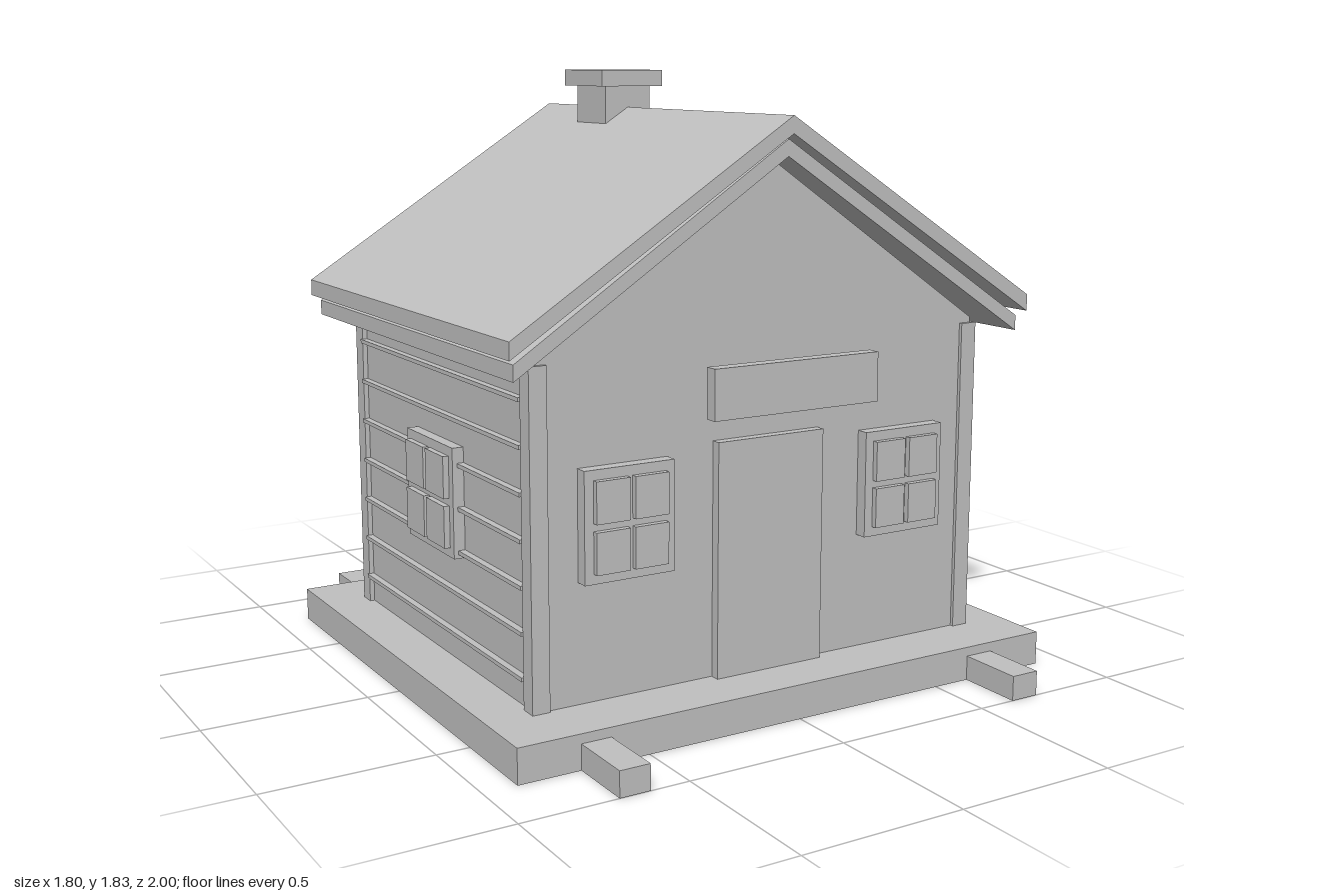
import * as THREE from 'three';

export function createModel() {
  const group = new THREE.Group();
  const grey = new THREE.MeshStandardMaterial({ color: 0xc0c0c0 });
  grey.name = 'light grey';

  const add = (name, geometry, parent = group) => {
    const mesh = new THREE.Mesh(geometry, grey);
    mesh.name = name;
    parent.add(mesh);
    return mesh;
  };
  // Box given by its extents along each axis
  const box = (name, x0, x1, y0, y1, z0, z1, parent) => {
    const g = new THREE.BoxGeometry(x1 - x0, y1 - y0, z1 - z0);
    g.translate((x0 + x1) / 2, (y0 + y1) / 2, (z0 + z1) / 2);
    return add(name, g, parent);
  };
  // Front outline extruded along z, centred on z = 0
  const prism = (name, points, halfDepth) => {
    const shape = new THREE.Shape(points.map(([x, y]) => new THREE.Vector2(x, y)));
    const g = new THREE.ExtrudeGeometry(shape, { depth: 2 * halfDepth, bevelEnabled: false });
    g.translate(0, 0, -halfDepth);
    return add(name, g);
  };
  // Chevron roof layer: ridge and eave heights of its upper and lower faces
  const roof = (name, w, ridgeTop, eaveTop, ridgeLow, eaveLow, halfDepth) =>
    prism(name, [[-w, eaveLow], [0, ridgeLow], [w, eaveLow], [w, eaveTop], [0, ridgeTop], [-w, eaveTop]], halfDepth);

  // Base and skids
  box('base', -0.9, 0.9, 0, 0.103, -0.795, 0.795);
  for (const s of [-1, 1]) box('skid', s * 0.665 - 0.046, s * 0.665 + 0.046, 0, 0.075, -1, 1);

  // Body with gables
  prism('walls', [[-0.75, 0.1], [0.75, 0.1], [0.75, 1.083], [0, 1.592], [-0.75, 1.083]], 0.607);

  // Two roof layers
  roof('lowerRoof', 0.85, 1.645, 1.092, 1.597, 1.046, 0.702);
  roof('upperRoof', 0.872, 1.71, 1.157, 1.66, 1.107, 0.726);

  // Chimney
  box('chimneyStack', -0.08, 0.08, 1.57, 1.78, -0.372, -0.186);
  box('chimneyCap', -0.109, 0.109, 1.776, 1.826, -0.402, -0.156);

  // Corner posts
  for (const sx of [-1, 1]) for (const sz of [-1, 1]) {
    const x = sx * 0.738, z = sz * 0.591;
    box('cornerPost', x - 0.027, x + 0.027, 0.103, 1.066, z - 0.027, z + 0.027);
  }

  // Siding battens
  for (const s of [-1, 1]) for (let i = 0; i < 7; i++) {
    const y = 0.19 + i * 0.13, x = s * 0.758;
    box('sidingStrip', x - 0.013, x + 0.013, y - 0.006, y + 0.006, -0.565, 0.565);
  }

  // Door and sign board
  box('door', -0.181, 0.181, 0.103, 0.8, 0.6, 0.637);
  box('signBoard', -0.277, 0.277, 0.893, 1.038, 0.724, 0.764);

  // Window facing +z: backing board with four raised panes
  const makeWindow = (w, h, pw, ph, proud, bars) => {
    const win = new THREE.Group();
    win.name = 'window';
    box('windowBoard', -w, w, -h, h, -0.01, proud, win);
    for (const sx of [-1, 1]) for (const sy of [-1, 1]) {
      const x = [sx * bars, sx * pw].sort((a, b) => a - b);
      const y = [sy * 0.011, sy * ph].sort((a, b) => a - b);
      box('windowPane', x[0], x[1], y[0], y[1], proud - 0.005, proud + 0.018, win);
    }
    group.add(win);
    return win;
  };
  for (const s of [-1, 1]) {
    for (const sz of [-1, 1]) {
      const win = makeWindow(0.142, 0.16, 0.114, 0.131, 0.039, 0.008);
      win.position.set(s * 0.474, 0.613, sz * 0.607);
      if (sz < 0) win.rotation.y = Math.PI;
    }
    const side = makeWindow(0.164, 0.165, 0.137, 0.137, 0.035, 0.008);
    side.position.set(s * 0.75, 0.597, 0);
    side.rotation.y = s * Math.PI / 2;
  }
  return group;
}
